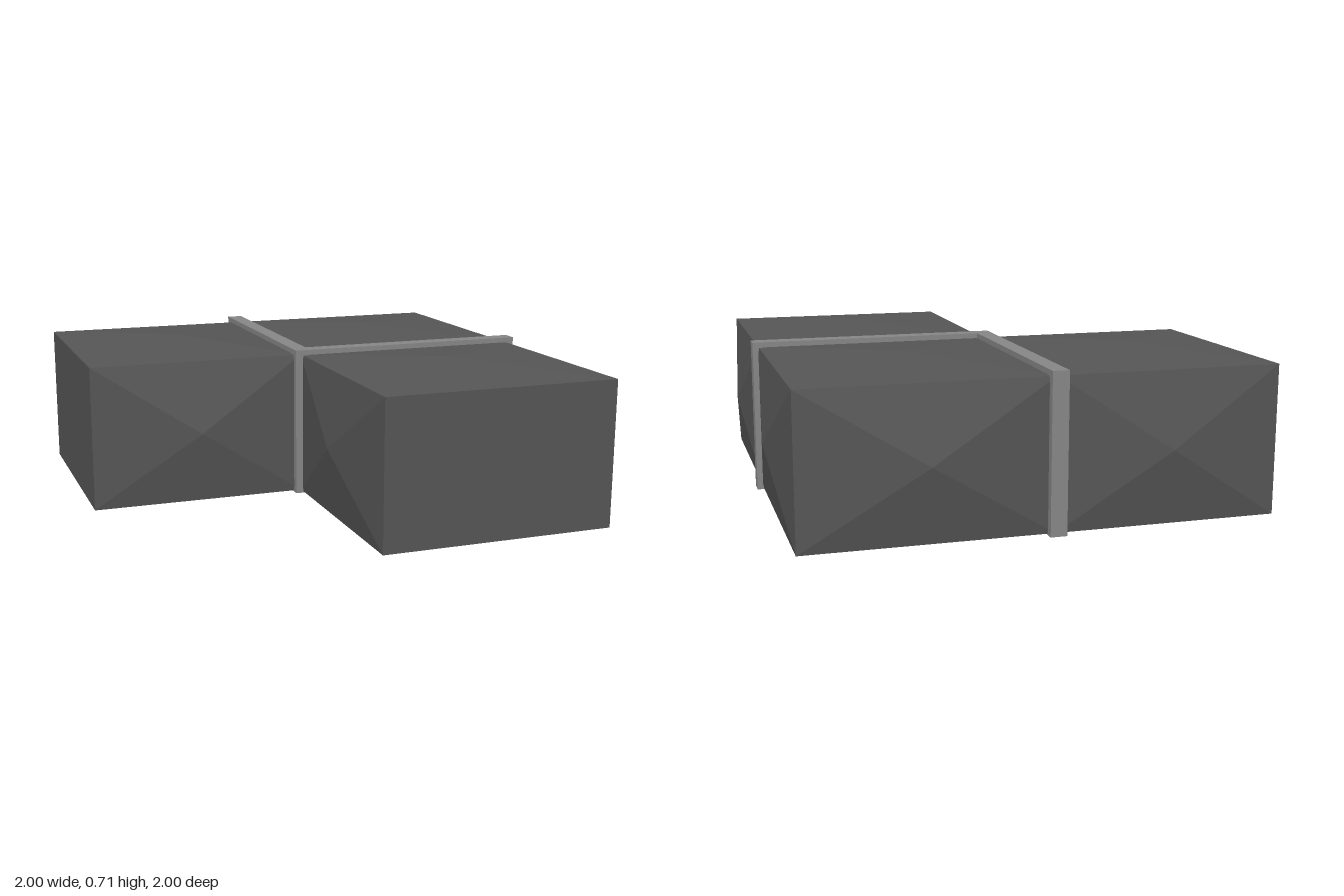
import * as THREE from 'three';

const V = (x, y, z) => new THREE.Vector3(x, y, z);

// Box whose six faces each rise to a shallow central point.
// lo / hi: corner positions; bulge: height of the point on [-x, +x, -y, +y, -z, +z]
function pillowBox(lo, hi, bulge) {
  const points = [];
  const mid = lo.map((v, i) => (v + hi[i]) / 2);
  for (let axis = 0; axis < 3; axis++) {
    const u = (axis + 1) % 3, v = (axis + 2) % 3;
    for (const side of [0, 1]) {
      const level = side ? hi[axis] : lo[axis];
      const apex = [...mid];
      apex[axis] = level + (side ? 1 : -1) * bulge[axis * 2 + side];
      const ring = [[0, 0], [1, 0], [1, 1], [0, 1]].map(([a, b]) => {
        const p = [0, 0, 0];
        p[axis] = level;
        p[u] = a ? hi[u] : lo[u];
        p[v] = b ? hi[v] : lo[v];
        return p;
      });
      if (!side) ring.reverse();
      ring.forEach((p, i) => points.push(V(...p), V(...ring[(i + 1) % 4]), V(...apex)));
    }
  }
  const geometry = new THREE.BufferGeometry().setFromPoints(points);
  geometry.computeVertexNormals();
  return geometry;
}

export function createModel() {
  const model = new THREE.Group();
  const blockGrey = new THREE.MeshStandardMaterial({ color: 0x555555 });
  blockGrey.name = 'dark grey';
  const bandGrey = new THREE.MeshStandardMaterial({ color: 0x868686 });
  bandGrey.name = 'light grey';

  const add = (name, geometry, material) => {
    const mesh = new THREE.Mesh(geometry, material);
    mesh.name = name;
    model.add(mesh);
    return mesh;
  };

  // Three blocks in an L; the two outer ends and the joints stay flat
  const y0 = 0.045, y1 = 0.665, t = 0.043, s = 0.053;
  add('rightBlock', pillowBox([-1, y0, -0.945], [-0.065, y1, 0.057], [0, 0, t, t, s, s]), blockGrey);
  add('cornerBlock', pillowBox([-0.065, y0, -0.945], [0.942, y1, 0.057], [0, s, t, t, s, 0]), blockGrey);
  add('frontBlock', pillowBox([-0.065, y0, 0.057], [0.942, y1, 1], [s, s, t, t, 0, 0]), blockGrey);

  // Divider bands standing in the two joints
  const height = 0.65, width = 0.068;
  add('sideDivider', new THREE.BoxGeometry(width, height, 1.07), bandGrey)
    .position.set(-0.066, 0.365, -0.445);
  add('frontDivider', new THREE.BoxGeometry(1.002, height, width), bandGrey)
    .position.set(0.469, 0.365, 0.056);

  return model;
}
